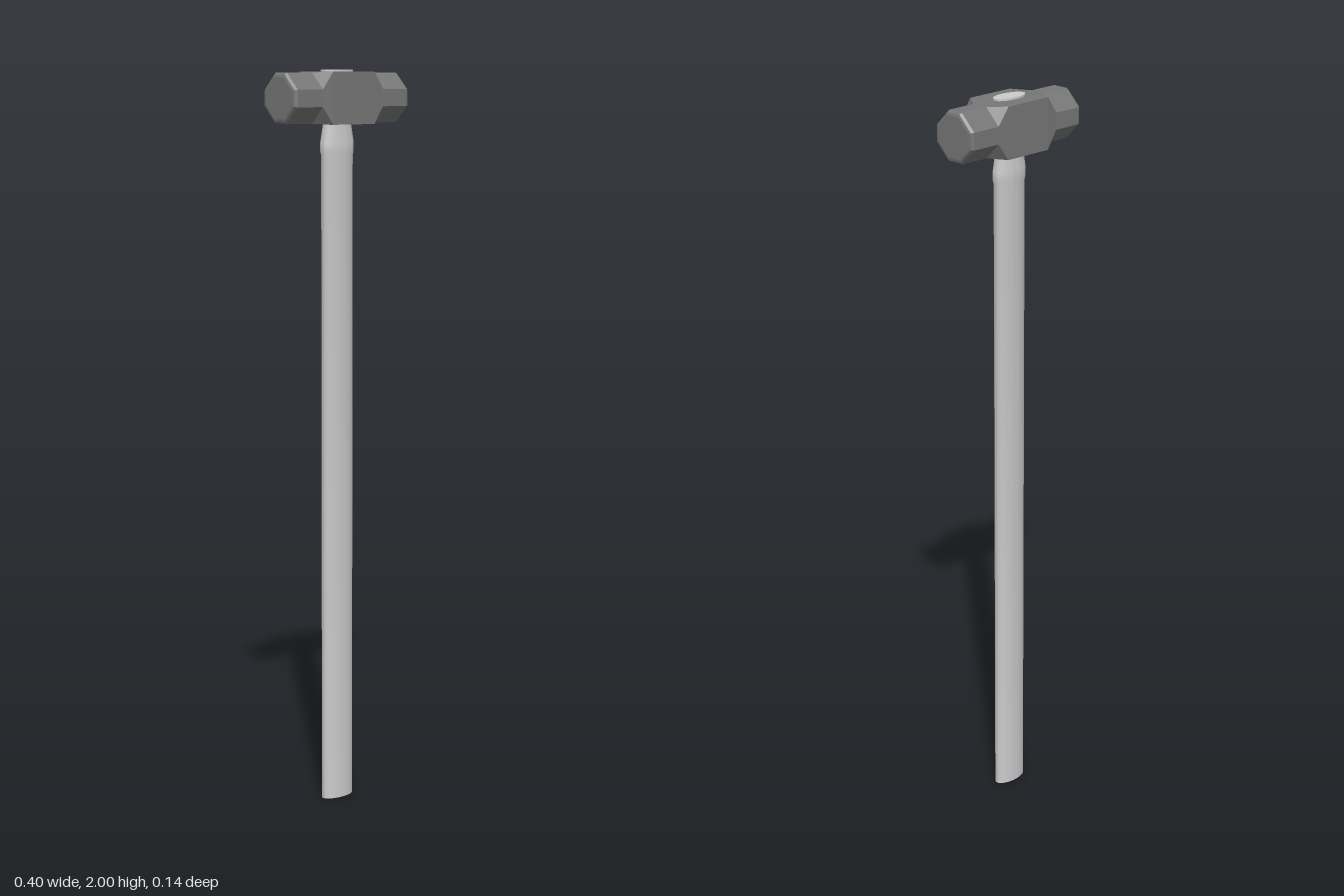
import * as THREE from 'three';
import { toCreasedNormals } from 'three/addons/utils/BufferGeometryUtils.js';

const HEAD_Y = 1.926;

// Octagonal ring in the yz plane: h = half height, f = half width of each flat (f = h is a square).
function ring([x, h, f]) {
  return [[h, -f], [h, f], [f, h], [-f, h], [-h, f], [-h, -f], [-f, -h], [f, -h]]
    .map(([y, z]) => new THREE.Vector3(x, y, z));
}

// Skins the rings, ordered along +x, and closes both ends.
function loft(rings) {
  const pos = [];
  const tri = (a, b, c) => {
    if (new THREE.Triangle(a, b, c).getArea() < 1e-9) return;
    for (const p of [a, b, c]) pos.push(p.x, p.y, p.z);
  };
  for (let i = 0; i < rings.length - 1; i++) {
    for (let j = 0; j < 8; j++) {
      const k = (j + 1) % 8;
      const [a, b, c, d] = [rings[i][j], rings[i][k], rings[i + 1][k], rings[i + 1][j]];
      tri(a, b, c);
      tri(a, c, d);
    }
  }
  const first = rings[0], last = rings[rings.length - 1];
  for (let j = 1; j < 7; j++) {
    tri(first[0], first[j + 1], first[j]);
    tri(last[0], last[j], last[j + 1]);
  }
  const geo = new THREE.BufferGeometry();
  geo.setAttribute('position', new THREE.Float32BufferAttribute(pos, 3));
  geo.computeVertexNormals();
  return geo;
}

export function createModel() {
  const group = new THREE.Group();

  // Head: square middle block, chamfered octagonal arms, rounded striking faces.
  const half = [
    [0.072, 0.0685, 0.0685],
    [0.105, 0.066, 0.0225],
    [0.19, 0.066, 0.0225],
    [0.197, 0.061, 0.021],
    [0.199, 0.054, 0.019],
  ];
  const mirrored = half.map(([x, h, f]) => [-x, h, f]).reverse();
  const head = new THREE.Mesh(
    loft([...mirrored, ...half].map(ring)),
    new THREE.MeshStandardMaterial({ color: 0x777777, flatShading: true })
  );
  head.name = 'hammerHead';
  head.position.y = HEAD_Y;
  group.add(head);

  // Handle: oval shaft with a slight shoulder below the head, ending just above the eye.
  const profile = [
    [0, 0], [0.051, 0], [0.051, 1.775], [0.054, 1.785], [0.054, 1.81],
    [0.045, 1.86], [0.052, 1.99], [0.052, 2], [0, 2],
  ].map(([r, y]) => new THREE.Vector2(r, y));
  const shaft = new THREE.LatheGeometry(profile, 48);
  shaft.scale(1, 1, 0.5);
  const handle = new THREE.Mesh(
    toCreasedNormals(shaft, 0.6),
    new THREE.MeshStandardMaterial({ color: 0xcccccc })
  );
  handle.name = 'handle';
  group.add(handle);

  return group;
}
